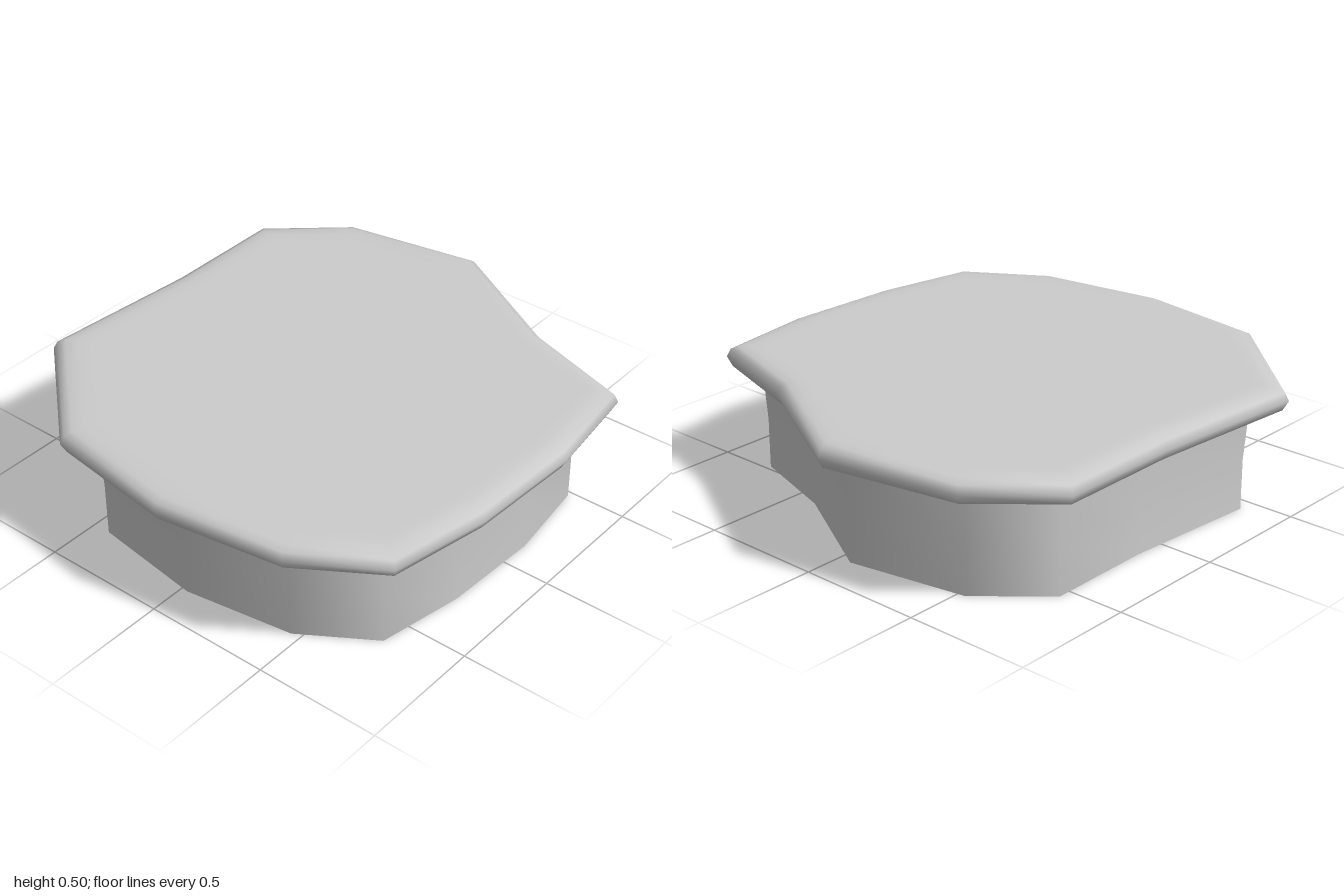
import * as THREE from 'three';

// Irregular outline (x, z), starting at the back and running round by the model's left
const OUTLINE = [
  [-0.505, -0.96], [0.14, -0.905], [0.645, -0.905], [0.895, -0.62], [0.995, -0.065],
  [0.70, 0.46], [0.56, 0.90], [0.145, 0.955], [-0.32, 0.935], [-0.72, 0.86],
  [-0.925, 0.54], [-1, 0.03], [-0.925, -0.5],
];

// Shell of scaled copies of the outline; profile is a list of [scale, y] from bottom to top
function outlineShell(profile, closed) {
  const n = OUTLINE.length;
  const positions = [];
  const index = [];
  for (const [s, y] of profile) {
    for (const [x, z] of OUTLINE) positions.push(x * s, y, z * s);
  }
  for (let j = 0; j < profile.length - 1; j++) {
    for (let i = 0; i < n; i++) {
      const k = (i + 1) % n;
      const a = j * n + i, b = j * n + k, c = b + n, d = a + n;
      index.push(a, d, c, a, c, b);
    }
  }
  if (closed) {
    // Flat top, fanned to the centre
    const top = (profile.length - 1) * n;
    const centre = profile.length * n;
    positions.push(0, profile[profile.length - 1][1], 0);
    for (let i = 0; i < n; i++) index.push(top + i, centre, top + (i + 1) % n);
  }
  const geometry = new THREE.BufferGeometry();
  geometry.setAttribute('position', new THREE.Float32BufferAttribute(positions, 3));
  geometry.setIndex(index);
  geometry.computeVertexNormals();
  return geometry;
}

export function createModel() {
  const group = new THREE.Group();
  group.name = 'irregularLid';
  const material = new THREE.MeshStandardMaterial({ color: 0xcccccc, side: THREE.DoubleSide });

  const add = (name, profile, closed) => {
    const mesh = new THREE.Mesh(outlineShell(profile, closed), material);
    mesh.name = name;
    group.add(mesh);
  };

  // Open-bottomed wall, flaring slightly towards the top
  add('skirt', [[0.855, 0], [0.855, 0.2], [0.868, 0.395]], false);

  // Overhanging hollow slab with a rounded rim
  add('slab', [
    [0.868, 0.395], [0.95, 0.402], [0.98, 0.412], [1, 0.45],
    [0.985, 0.482], [0.955, 0.495], [0.91, 0.5], [0.86, 0.5],
  ], true);

  return group;
}
